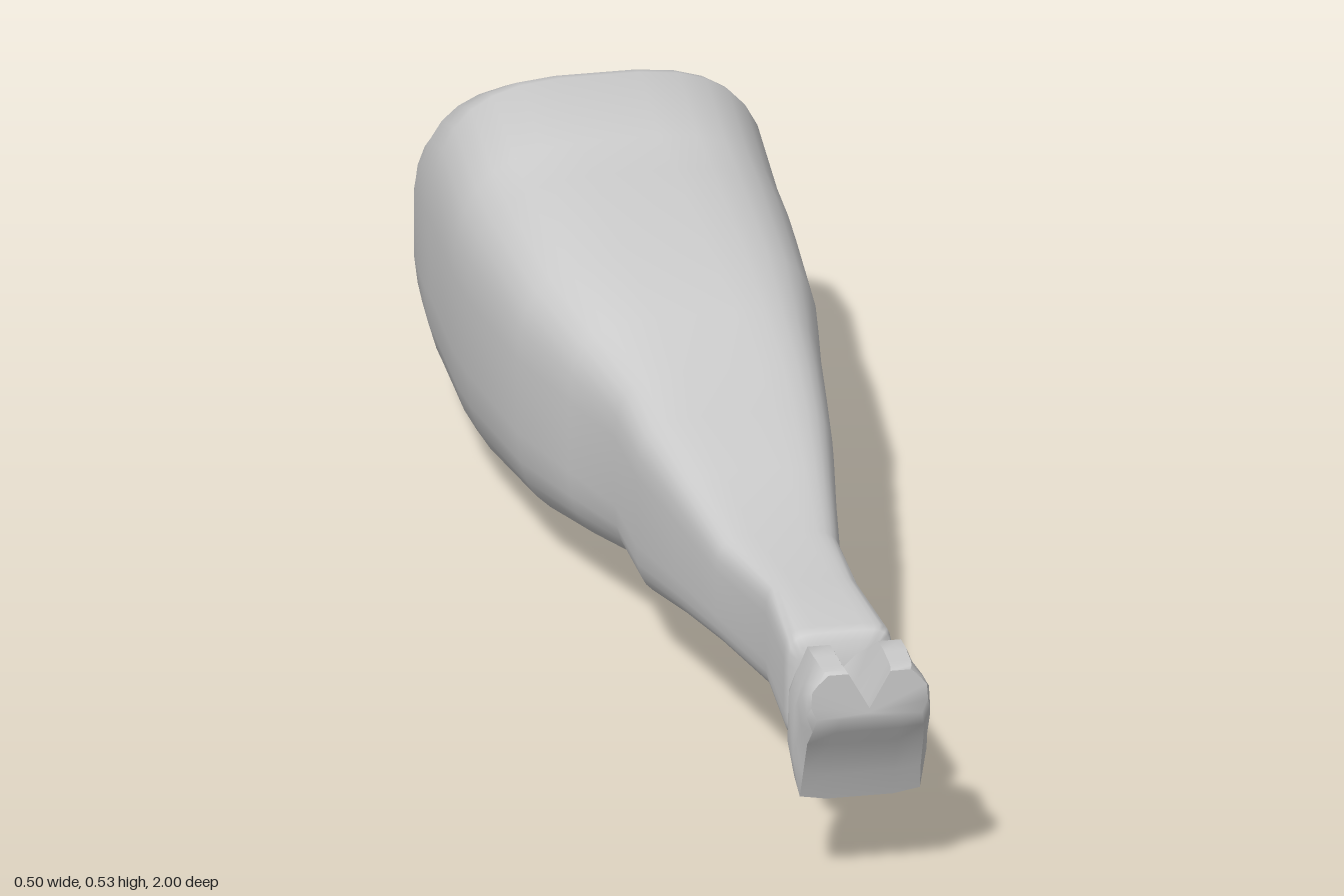
import * as THREE from 'three';
import { toCreasedNormals } from 'three/addons/utils/BufferGeometryUtils.js';

// Skin a list of equal-length rings (counter-clockwise seen from +z, back to front) and cap both ends
function loft(rings, crease) {
  const n = rings[0].length, pos = [], idx = [];
  rings.forEach(r => r.forEach(p => pos.push(...p)));
  for (let r = 0; r < rings.length - 1; r++) {
    for (let i = 0; i < n; i++) {
      const a = r * n + i, b = r * n + (i + 1) % n;
      idx.push(a, b, b + n, a, b + n, a + n);
    }
  }
  const cap = (start, centre, flip) => {
    const c = pos.length / 3;
    pos.push(...centre);
    for (let i = 0; i < n; i++) {
      const a = start + i, b = start + (i + 1) % n;
      idx.push(c, flip ? b : a, flip ? a : b);
    }
  };
  cap(0, rings[0].centre, true);
  cap((rings.length - 1) * n, rings[rings.length - 1].centre, false);
  const g = new THREE.BufferGeometry();
  g.setAttribute('position', new THREE.Float32BufferAttribute(pos, 3));
  g.setIndex(idx);
  return toCreasedNormals(g, crease);
}

// Rounded-square ring: larger power gives squarer corners
function squareRing([z, x0, x1, y0, y1, power]) {
  const cx = (x0 + x1) / 2, cy = (y0 + y1) / 2, ring = [];
  const bend = v => Math.sign(v) * Math.abs(v) ** (2 / power);
  for (let i = 0; i < 32; i++) {
    const t = (i + 0.5) / 32 * Math.PI * 2;
    ring.push([cx + bend(Math.cos(t)) * (x1 - x0) / 2, cy + bend(Math.sin(t)) * (y1 - y0) / 2, z]);
  }
  ring.centre = [cx, cy, z];
  return ring;
}

// Hoof ring: two toes on top, divided by a V-shaped notch
function hoofRing([z, half, bottom, top, notch]) {
  const cx = 0.023, h = top - bottom;
  const right = [
    [0.5, bottom], [0.9, bottom + h * 0.03], [1, bottom + h * 0.3],
    [0.98, bottom + h * 0.65], [0.88, top - h * 0.2], [0.7, top], [0.36, top],
  ];
  const left = right.map(([u, y]) => [-u, y]).reverse();
  const ring = [...right, [0, notch], ...left].map(([u, y]) => [cx + u * half, y, z]);
  ring.centre = [cx, (bottom + notch) / 2, z];
  return ring;
}

export function createModel() {
  const group = new THREE.Group();
  group.name = 'leg';
  const material = new THREE.MeshStandardMaterial({ color: 0xcccccc });
  const add = (name, geometry) => {
    const mesh = new THREE.Mesh(geometry, material);
    mesh.name = name;
    group.add(mesh);
  };

  // Thigh tapering to the shank: z, x min, x max, y min, y max, squareness
  const legSections = [
    [-1.0, -0.205, 0.175, 0.19, 0.33, 4],
    [-0.985, -0.235, 0.21, 0.14, 0.38, 4],
    [-0.95, -0.242, 0.238, 0.08, 0.44, 3.6],
    [-0.9, -0.246, 0.25, 0.045, 0.49, 3.4],
    [-0.84, -0.25, 0.248, 0.018, 0.52, 3.2],
    [-0.8, -0.25, 0.246, 0.013, 0.533, 3.2],
    [-0.65, -0.248, 0.242, 0.003, 0.497, 3.2],
    [-0.55, -0.247, 0.238, 0.02, 0.487, 3.3],
    [-0.3, -0.225, 0.215, 0.06, 0.466, 3.6],
    [-0.15, -0.18, 0.19, 0.085, 0.432, 4],
    [-0.02, -0.14, 0.172, 0.11, 0.4, 4.5],
    [0.1, -0.133, 0.155, 0.105, 0.383, 4.8],
    [0.25, -0.108, 0.128, 0.133, 0.358, 5],
    [0.42, -0.082, 0.1, 0.158, 0.33, 5],
    [0.6, -0.047, 0.092, 0.166, 0.333, 5.5],
    [0.77, -0.055, 0.102, 0.163, 0.333, 6],
    [0.79, -0.052, 0.098, 0.166, 0.331, 6],
    [0.8, -0.042, 0.086, 0.178, 0.32, 6],
  ];
  add('thighAndShank', loft(legSections.map(squareRing), 0.9));

  // Cloven hoof: z, half width, bottom, top, notch height
  const hoofSections = [
    [0.803, 0.065, 0.19, 0.302, 0.28],
    [0.85, 0.088, 0.17, 0.33, 0.285],
    [0.89, 0.097, 0.151, 0.355, 0.29],
    [0.93, 0.097, 0.135, 0.357, 0.29],
    [0.945, 0.095, 0.178, 0.357, 0.291],
    [0.97, 0.094, 0.235, 0.357, 0.293],
    [0.99, 0.09, 0.262, 0.357, 0.296],
    [1.0, 0.085, 0.285, 0.355, 0.3],
  ];
  add('hoof', loft(hoofSections.map(hoofRing), 0.8));

  return group;
}
